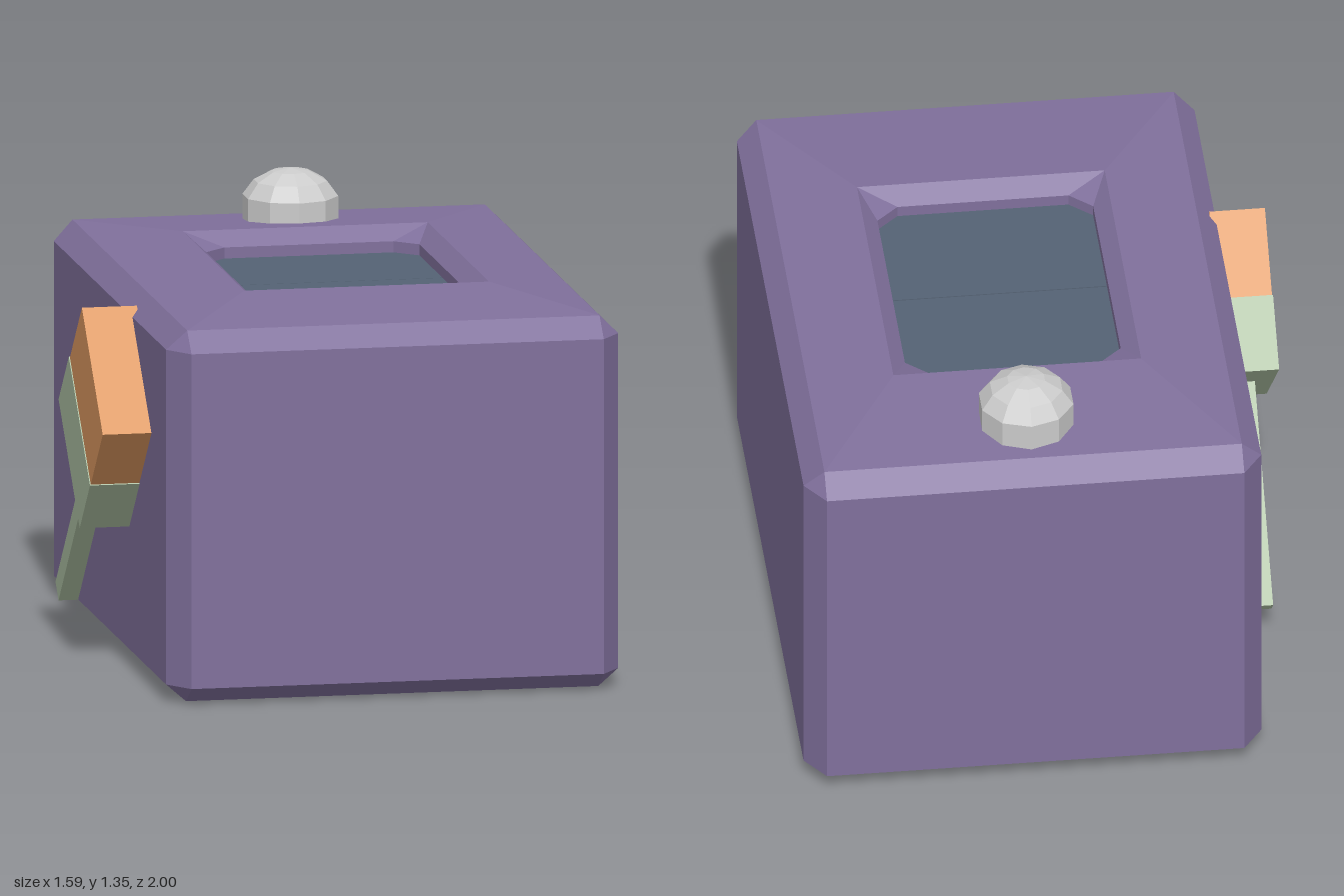
import * as THREE from 'three';

const material = (color) => new THREE.MeshStandardMaterial({ color, flatShading: true });

function addMesh(parent, name, geometry, mat, x = 0, y = 0, z = 0) {
  const mesh = new THREE.Mesh(geometry, mat);
  mesh.name = name;
  mesh.position.set(x, y, z);
  parent.add(mesh);
  return mesh;
}

// Rectangle with cut corners at height y; zero cuts give a plain rectangle.
function ring(y, hx, hz, cutX = 0, cutZ = 0) {
  const points = [];
  for (const [sx, sz] of [[1, 1], [-1, 1], [-1, -1], [1, -1]]) {
    const side = new THREE.Vector3(sx * hx, y, sz * (hz - cutZ));
    const end = new THREE.Vector3(sx * (hx - cutX), y, sz * hz);
    points.push(...(sx * sz > 0 ? [side, end] : [end, side]));
  }
  return points;
}

// Skin through successive rings, closed at both ends.
function loft(rings) {
  const positions = [];
  const tri = (a, b, c) => {
    const area = b.clone().sub(a).cross(c.clone().sub(a)).length();
    if (area > 1e-7) for (const p of [a, b, c]) positions.push(p.x, p.y, p.z);
  };
  for (let r = 0; r < rings.length - 1; r++) {
    const a = rings[r], b = rings[r + 1];
    for (let i = 0; i < 8; i++) {
      const j = (i + 1) % 8;
      tri(a[i], b[i], b[j]);
      tri(a[i], b[j], a[j]);
    }
  }
  const first = rings[0], last = rings[rings.length - 1];
  for (let i = 1; i < 7; i++) {
    tri(first[0], first[i], first[i + 1]);
    tri(last[0], last[i + 1], last[i]);
  }
  const geometry = new THREE.BufferGeometry();
  geometry.setAttribute('position', new THREE.Float32BufferAttribute(positions, 3));
  geometry.computeVertexNormals();
  return geometry;
}

export function createModel() {
  const model = new THREE.Group();
  model.name = 'bin';
  const purple = material(0x80709c);
  const slate = material(0x546274);
  const grey = material(0xcccccc);
  const orange = material(0xdc9860);
  const green = material(0xabbea1);
  const centreX = 0.077;

  // Bevelled box with a gently raised lid and a sunken opening
  addMesh(model, 'body', loft([
    ring(0, 0.652, 0.91),
    ring(0.055, 0.715, 1, 0.063, 0.09),
    ring(1.113, 0.715, 1, 0.063, 0.09),
    ring(1.175, 0.652, 0.93),
    ring(1.21, 0.387, 0.497),
    ring(1.165, 0.337, 0.44, 0.07, 0.065),
    ring(1.11, 0.337, 0.44, 0.07, 0.065),
  ]), purple, centreX);

  // Two flaps meeting across the middle of the opening
  const flap = new THREE.Shape([
    [-0.337, 0.002], [0.337, 0.002], [0.337, 0.375],
    [0.267, 0.44], [-0.267, 0.44], [-0.337, 0.375],
  ].map(([x, y]) => new THREE.Vector2(x, y)));
  const flapGeometry = new THREE.ExtrudeGeometry(flap, { depth: 0.02, bevelEnabled: false });
  flapGeometry.rotateX(-Math.PI / 2);
  addMesh(model, 'backFlap', flapGeometry, slate, centreX, 1.11);
  addMesh(model, 'frontFlap', flapGeometry, slate, centreX, 1.11).rotation.y = Math.PI;

  // Domed knob at the back of the lid
  const knobProfile = [
    [0, 0], [0.15, 0], [0.15, 0.115], [0.115, 0.162], [0.06, 0.192], [0, 0.202],
  ].map(([r, y]) => new THREE.Vector2(r, y));
  addMesh(model, 'knob', new THREE.LatheGeometry(knobProfile, 10), grey, centreX, 1.15, -0.74);

  // Lever on the right side, leaning forward
  const lever = new THREE.Group();
  lever.name = 'lever';
  lever.position.set(-0.705, 0.115, -0.355);
  lever.rotation.x = Math.PI / 4;
  model.add(lever);
  addMesh(lever, 'leverHandle', new THREE.BoxGeometry(0.062, 0.74, 0.07), green, 0, 0.37, 0);
  addMesh(lever, 'leverCollar', new THREE.BoxGeometry(0.18, 0.235, 0.485), green, 0, 0.823, 0);
  addMesh(lever, 'leverHead', new THREE.BoxGeometry(0.174, 0.28, 0.478), orange, 0, 1.075, 0);

  return model;
}
